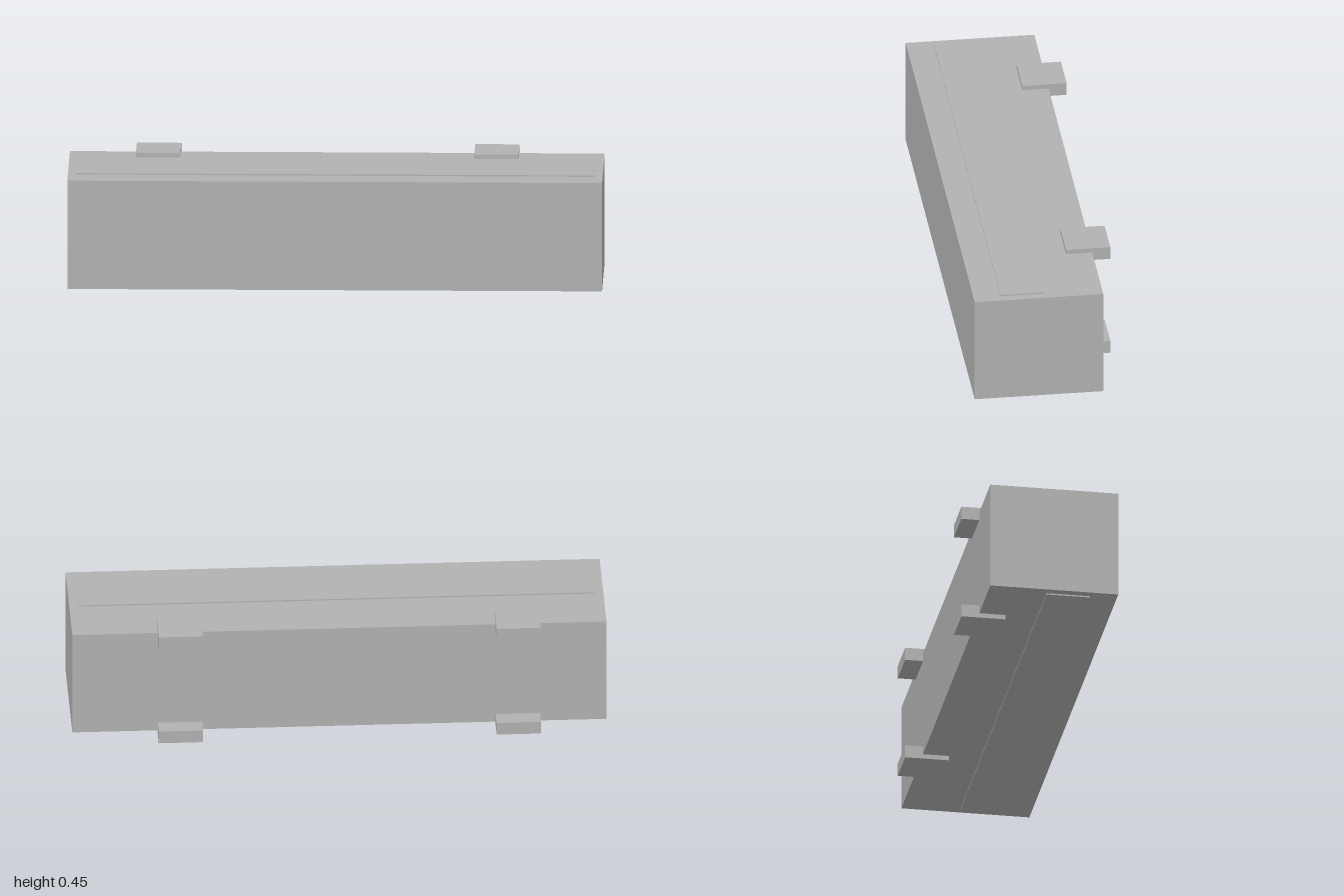
import * as THREE from 'three';

export function createModel() {
  const model = new THREE.Group();
  const grey = new THREE.MeshStandardMaterial({ color: 0xb2b2b2 });
  grey.name = 'light grey';

  // Box given by its minimum and maximum corners
  function addBox(name, [x0, y0, z0], [x1, y1, z1]) {
    const mesh = new THREE.Mesh(new THREE.BoxGeometry(x1 - x0, y1 - y0, z1 - z0), grey);
    mesh.position.set((x0 + x1) / 2, (y0 + y1) / 2, (z0 + z1) / 2);
    mesh.name = name;
    model.add(mesh);
  }

  const bottom = 0.018, top = 0.434, height = 0.452;

  // Main block
  addBox('body', [-1, bottom, -0.208], [1, top, 0.277]);

  // Thin raised strips along the top and underside
  addBox('topStrip', [-0.967, top - 0.01, 0.01], [0.967, 0.439, 0.175]);
  addBox('bottomStrip', [-0.967, 0.013, 0.01], [0.967, bottom + 0.01, 0.175]);

  // Four lugs clipped over the rear edges
  for (const [side, x] of [['right', -0.668], ['left', 0.597]]) {
    for (const [level, y] of [['Lower', 0], ['Upper', height - 0.05]]) {
      addBox(`${side}${level}Lug`, [x - 0.083, y, -0.276], [x + 0.083, y + 0.05, -0.109]);
    }
  }
  return model;
}
